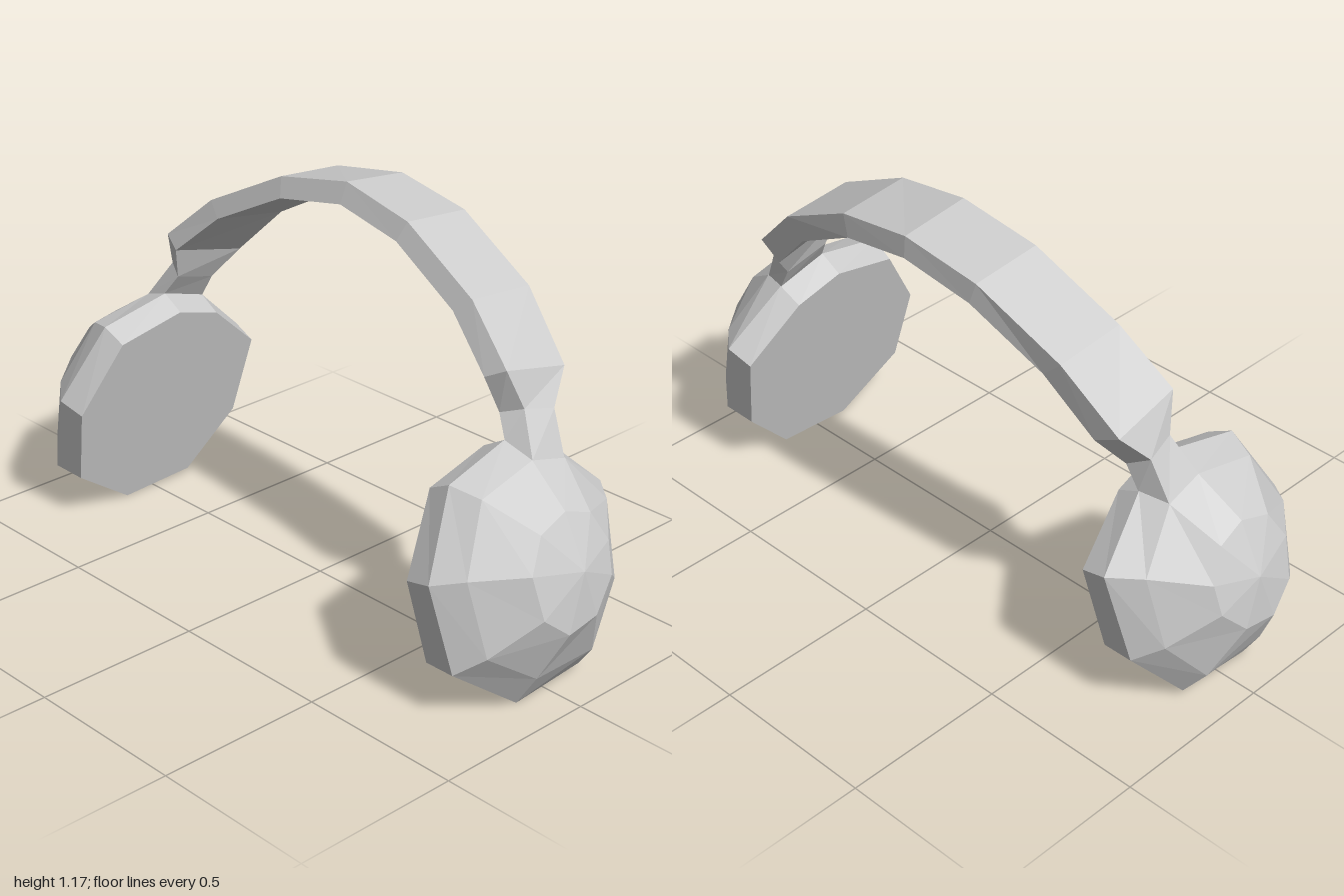
import * as THREE from 'three';

const material = new THREE.MeshStandardMaterial({ color: 0xcccccc, flatShading: true });

// Skin a list of closed rings (counter-clockwise about the direction of travel) and cap both ends.
function loft(name, rings, endTip) {
  const pos = [];
  const tri = (...pts) => pts.forEach((p) => pos.push(...p));
  const centroid = (ring) => [0, 1, 2].map((k) => ring.reduce((s, p) => s + p[k], 0) / ring.length);
  const n = rings[0].length;
  const first = rings[0], last = rings[rings.length - 1];
  const startTip = centroid(first);
  endTip = endTip || centroid(last);
  for (let i = 0; i < n; i++) {
    const j = (i + 1) % n;
    for (let k = 0; k < rings.length - 1; k++) {
      const a = rings[k], b = rings[k + 1];
      tri(a[i], a[j], b[j]);
      tri(a[i], b[j], b[i]);
    }
    tri(startTip, first[j], first[i]);
    tri(endTip, last[i], last[j]);
  }
  const geometry = new THREE.BufferGeometry();
  geometry.setAttribute('position', new THREE.Float32BufferAttribute(pos, 3));
  geometry.computeVertexNormals();
  const mesh = new THREE.Mesh(geometry, material);
  mesh.name = name;
  return mesh;
}

// Nine-sided ear cup outlines in x, y; each lies on a leaning plane z = z0 - lean * y.
const rim = [[0.01, 0.67], [0.165, 0.62], [0.34, 0.46], [0.305, 0.2], [0.14, 0.02],
  [-0.11, 0.005], [-0.315, 0.155], [-0.34, 0.4], [-0.21, 0.62]];
const shoulder = [[0.02, 0.64], [0.14, 0.61], [0.27, 0.46], [0.25, 0.25], [0.12, 0.1],
  [-0.1, 0.1], [-0.26, 0.21], [-0.28, 0.42], [-0.18, 0.6]];
const crown = [[0, 0.55], [0.09, 0.52], [0.14, 0.43], [0.13, 0.34], [0.05, 0.26],
  [-0.06, 0.245], [-0.14, 0.31], [-0.155, 0.43], [-0.1, 0.52]];
const pad = rim.map(([x, y]) => [x * 0.97, 0.005 + (y - 0.005) * 0.94]);

function earCup(name, side) {
  const lean = (outline, z0, slope) => {
    const ring = outline.map(([x, y]) => [x, y, side * (z0 - slope * y)]);
    return side > 0 ? ring.reverse() : ring;
  };
  const rings = [lean(pad, 0.761, 0.226), lean(rim, 0.873, 0.275),
    lean(shoulder, 0.958, 0.28), lean(crown, 1.069, 0.28)];
  return loft(name, rings, [0, 0.405, side * 0.99]);
}

// Headband sections from the front neck to the apex: outer left, outer right, inner right, inner left.
const halfBand = [
  [[0.02, 0.64, 0.78], [0.14, 0.61, 0.785], [0.165, 0.62, 0.7], [0.01, 0.67, 0.69]],
  [[0.06, 0.75, 0.71], [0.155, 0.73, 0.73], [0.17, 0.69, 0.66], [0.03, 0.73, 0.65]],
  [[0.02, 0.86, 0.68], [0.235, 0.815, 0.69], [0.24, 0.775, 0.61], [0, 0.83, 0.62]],
  [[0.055, 1.0, 0.52], [0.275, 0.98, 0.52], [0.275, 0.925, 0.46], [0.035, 0.96, 0.47]],
  [[0.085, 1.135, 0.25], [0.305, 1.115, 0.25], [0.31, 1.05, 0.23], [0.062, 1.08, 0.23]],
  [[0.1, 1.18, 0], [0.315, 1.155, 0], [0.32, 1.09, 0], [0.075, 1.12, 0]],
];

export function createModel() {
  const group = new THREE.Group();
  group.name = 'headphones';
  // Mirror the half band past its apex to the back neck
  const backHalf = halfBand.slice(0, -1).reverse().map((s) => s.map(([x, y, z]) => [x, y, -z]));
  group.add(loft('headband', [...halfBand, ...backHalf]));
  group.add(earCup('frontEarCup', 1), earCup('backEarCup', -1));
  return group;
}
